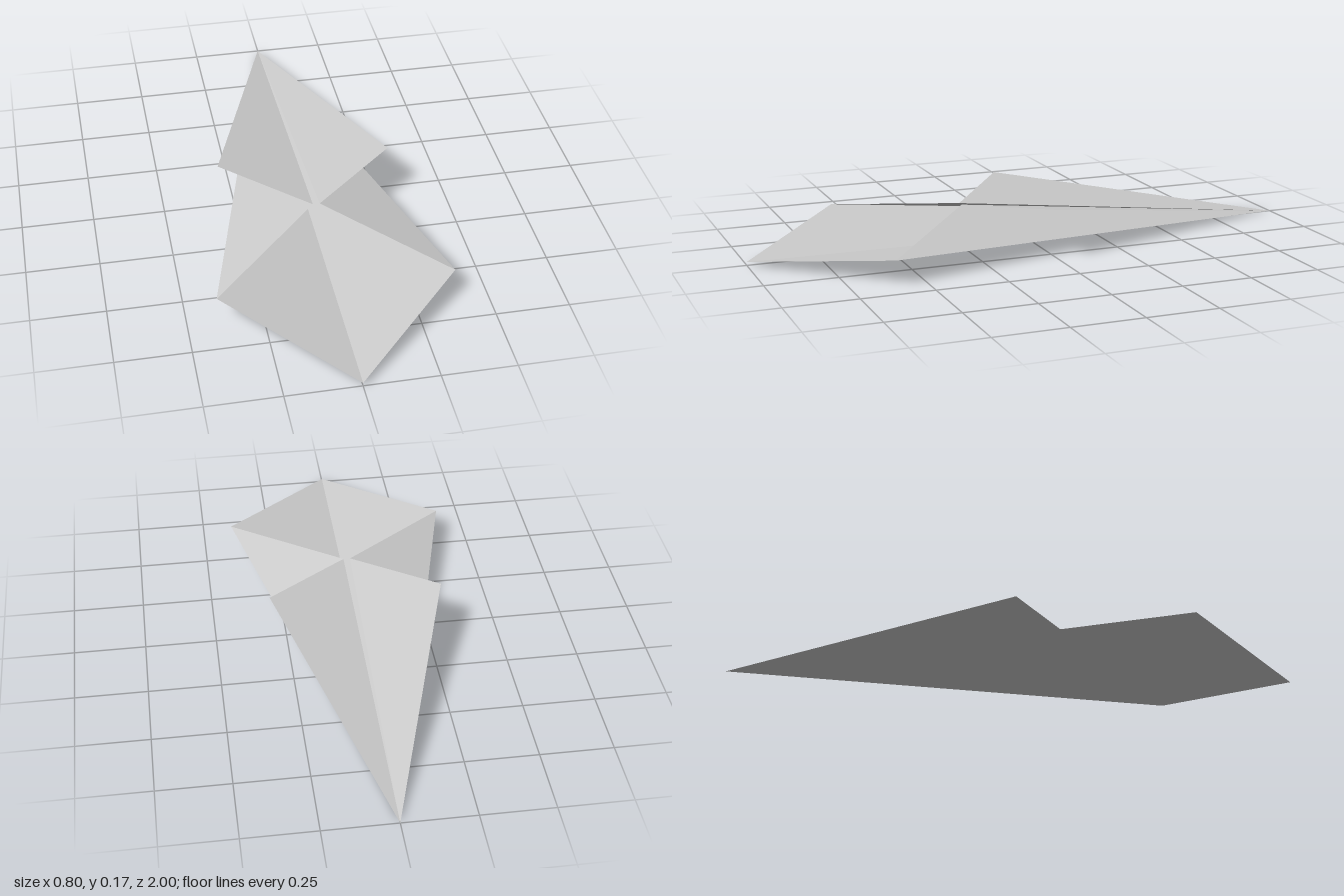
import * as THREE from 'three';

// Folded paper dart: each side is one sheet folded twice along lines that meet at a shared point.
export function createModel() {
  const model = new THREE.Group();
  model.name = 'paperDart';
  const paper = new THREE.MeshStandardMaterial({ color: 0xcccccc, side: THREE.DoubleSide });
  paper.name = 'paper';

  // One flat triangular panel of paper
  function panel(name, ...corners) {
    const geometry = new THREE.BufferGeometry().setFromPoints(corners);
    geometry.computeVertexNormals();
    const mesh = new THREE.Mesh(geometry, paper);
    mesh.name = name;
    return mesh;
  }

  for (const side of [1, -1]) {
    const point = (x, y, z) => new THREE.Vector3(side * x, y, z);
    const tip = point(0, 0, -1); // where all the folds meet
    const keel = point(0, 0.012, 1);
    const outerFold = point(0.398, 0.081, 0.6);
    const innerFold = point(0.012, 0.142, 0.24);
    const wingCorner = point(0.305, 0.17, 0);
    // Keep corners counter-clockwise on the mirrored side
    const add = (name, a, b, c) =>
      model.add(side > 0 ? panel(name, a, b, c) : panel(name, a, c, b));

    const prefix = side > 0 ? 'left' : 'right';
    add(prefix + 'Underside', tip, outerFold, keel);      // bottom panel, faces down
    add(prefix + 'FoldedPanel', tip, innerFold, outerFold); // folded back over the bottom
    add(prefix + 'Wing', tip, innerFold, wingCorner);     // folded out again on top
  }
  return model;
}
